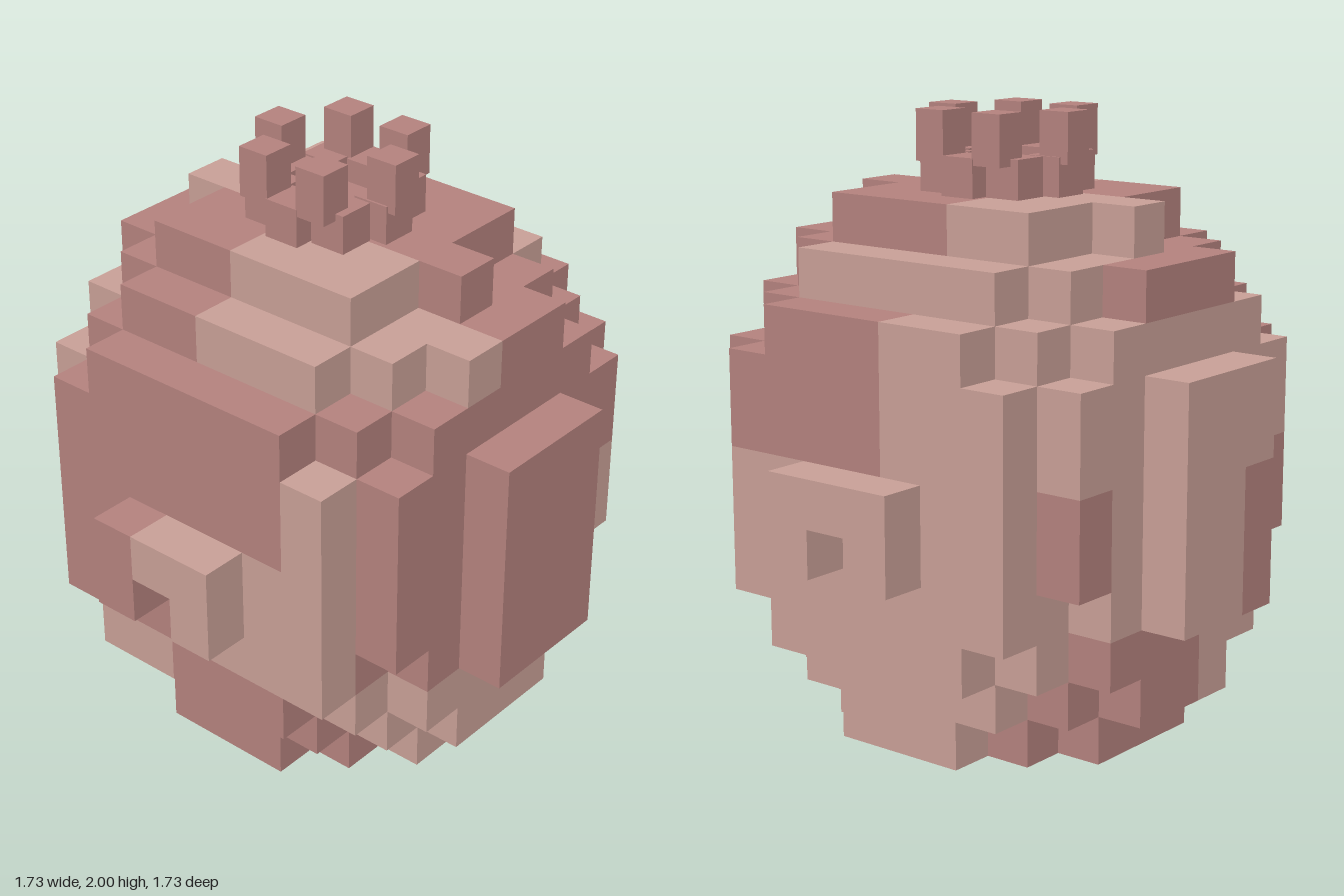
import * as THREE from 'three';
import { mergeGeometries } from 'three/addons/utils/BufferGeometryUtils.js';

const V = 0.1577; // cell size

// Per layer, bottom to top: half-width in x for |z| = 0, 1, 2 ...
const LAYERS = [
  [3, 3, 2, 1],
  [4, 4, 3, 2],
  [4, 4, 4, 3, 2],
  [5, 5, 4, 3, 3],
  [5, 5, 4, 4, 3, 1],
  [5, 5, 4, 4, 3, 1],
  [5, 5, 4, 4, 3],
  [5, 5, 4, 4, 3],
  [4, 4, 4, 3, 2],
  [4, 4, 3, 2],
  [3, 2, 2],
];

// Skin patches, three cells wide: [y][z from back][x from right], L light, D dark
const PATCHES = [
  ['LLLL', 'DDLL', 'LDDL', 'LLDL'],
  ['DLLL', 'LDDD', 'DDLD', 'DDLL'],
  ['LLDD', 'LDDD', 'LDDD', 'DDDL'],
  ['LLLD', 'DLDD', 'DDLL', 'DDDD'],
];

function filled(x, y, z) {
  const row = LAYERS[y];
  if (!row) return false;
  const w = row[Math.abs(z)];
  if (w === undefined || Math.abs(x) > w) return false;
  return !(y === 4 && Math.abs(z) === 5 && x === 0); // notch under each nub
}

function patchAt(x, y, z) {
  return PATCHES[Math.floor(y / 3)][Math.floor((z + 5) / 3)][Math.floor((x + 6) / 3)];
}

// Outward direction and rotation of each cell face
const FACES = [
  [[0, 0, 1], [0, 0]],
  [[0, 0, -1], [0, Math.PI]],
  [[1, 0, 0], [0, Math.PI / 2]],
  [[-1, 0, 0], [0, -Math.PI / 2]],
  [[0, 1, 0], [-Math.PI / 2, 0]],
  [[0, -1, 0], [Math.PI / 2, 0]],
];

function faceGeometry(x, y, z, [dir, [rx, ry]]) {
  const g = new THREE.PlaneGeometry(V, V);
  g.rotateX(rx).rotateY(ry);
  return g.translate(
    (x + dir[0] / 2) * V,
    (y + 0.5 + dir[1] / 2) * V,
    (z + dir[2] / 2) * V
  );
}

export function createModel() {
  const model = new THREE.Group();
  model.name = 'blockFruit';

  const lightSkin = new THREE.MeshStandardMaterial({ color: 0xc9a097 });
  lightSkin.name = 'light skin';
  const darkSkin = new THREE.MeshStandardMaterial({ color: 0xb4827e });
  darkSkin.name = 'dark skin';

  // Body: only the exposed cell faces, sorted by skin colour
  const skins = { L: [], D: [] };
  for (let y = 0; y < LAYERS.length; y++)
    for (let z = -5; z <= 5; z++)
      for (let x = -5; x <= 5; x++) {
        if (!filled(x, y, z)) continue;
        for (const face of FACES) {
          const [dx, dy, dz] = face[0];
          if (!filled(x + dx, y + dy, z + dz)) skins[patchAt(x, y, z)].push(faceGeometry(x, y, z, face));
        }
      }
  const body = new THREE.Group();
  body.name = 'body';
  const lightBody = new THREE.Mesh(mergeGeometries(skins.L), lightSkin);
  lightBody.name = 'lightPatches';
  const darkBody = new THREE.Mesh(mergeGeometries(skins.D), darkSkin);
  darkBody.name = 'darkPatches';
  body.add(lightBody, darkBody);
  model.add(body);

  // Crown: a core and two rings of small blocks
  const crown = new THREE.Group();
  crown.name = 'crown';
  const top = LAYERS.length * V;
  function block(name, x, z, width, y0, y1) {
    const mesh = new THREE.Mesh(new THREE.BoxGeometry(width, y1 - y0, width), darkSkin);
    mesh.position.set(x, (y0 + y1) / 2, z);
    mesh.name = name;
    crown.add(mesh);
  }
  function ring(name, count, radius, width, y0, y1) {
    for (let i = 0; i < count; i++) {
      const a = (i / count) * Math.PI * 2;
      block(name + (i + 1), Math.cos(a) * radius, Math.sin(a) * radius, width, y0, y1);
    }
  }
  block('crownCore', 0, 0, 0.2, top, 1.8);
  ring('lowerCrownBlock', 8, 0.19, 0.125, top, 1.86);
  ring('upperCrownBlock', 6, 0.225, 0.11, 1.837, 2);
  model.add(crown);

  return model;
}
